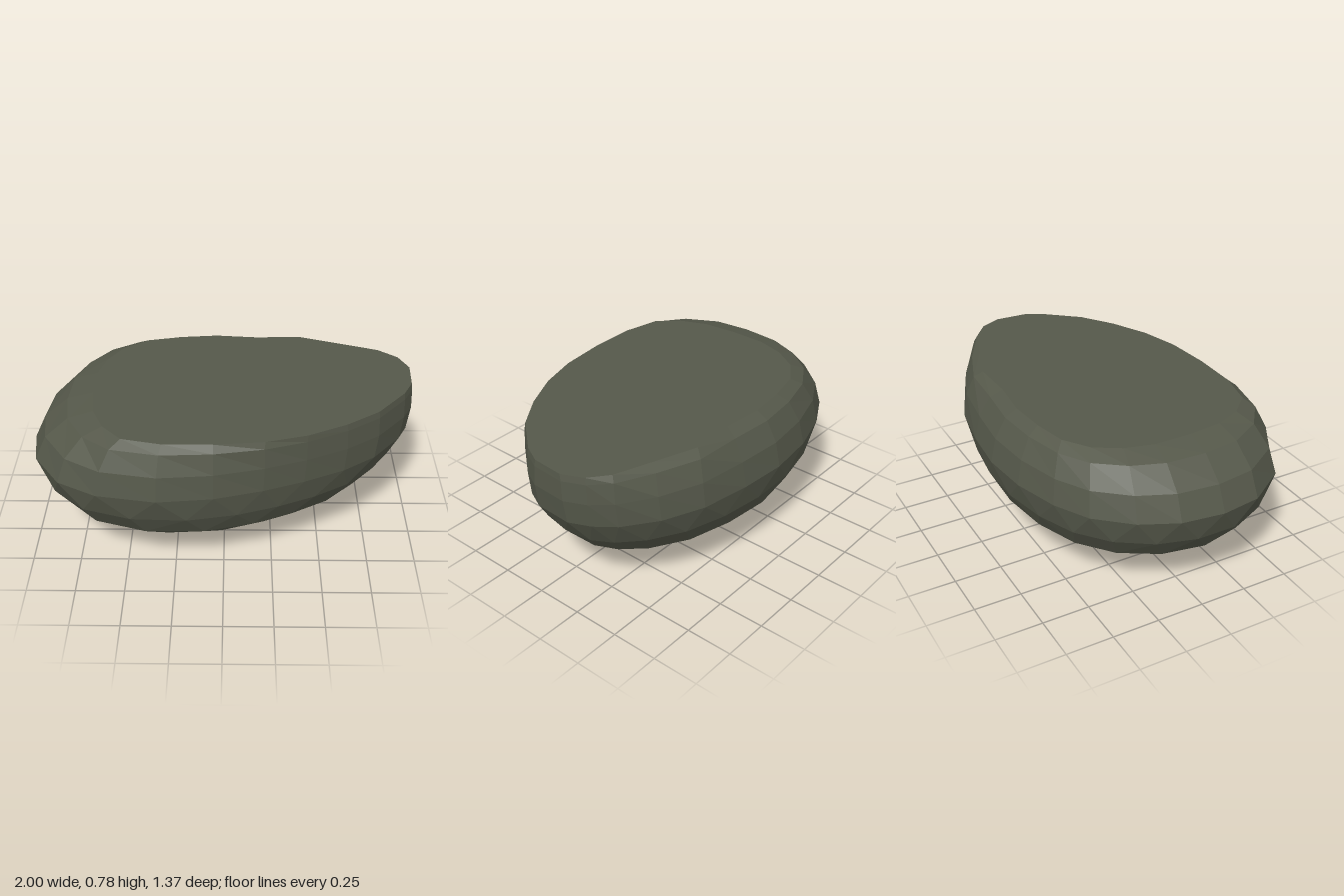
import * as THREE from 'three';

// Widest outline and flat-top outline as [x, z], matching point for point
const WIDE = [[1, -.2], [.99, 0], [.94, .1], [.79, .28], [.62, .4], [.41, .5], [.2, .58], [-.05, .65],
  [-.33, .68], [-.63, .63], [-.83, .52], [-.97, .31], [-1, .1], [-.97, -.12], [-.88, -.31], [-.73, -.48],
  [-.55, -.58], [-.31, -.655], [-.05, -.685], [.21, -.665], [.48, -.62], [.7, -.53], [.87, -.41], [.95, -.31]];
const TOP = [[.99, -.18], [.98, -.01], [.93, .09], [.78, .27], [.61, .39], [.41, .49], [.2, .55], [-.05, .575],
  [-.3, .575], [-.5, .53], [-.6, .42], [-.66, .28], [-.68, .1], [-.68, -.1], [-.64, -.25], [-.56, -.38],
  [-.43, -.47], [-.25, -.51], [-.05, -.53], [.17, -.51], [.41, -.52], [.64, -.44], [.84, -.37], [.94, -.29]];

// Point on a closed outline, u from 0 to 1
function sample(outline, u) {
  const n = outline.length, f = (((u % 1) + 1) % 1) * n, i = Math.floor(f) % n, t = f - Math.floor(f);
  const a = outline[i], b = outline[(i + 1) % n];
  return [a[0] + (b[0] - a[0]) * t, a[1] + (b[1] - a[1]) * t];
}

// One level of the rock: inset blends towards the top outline, scale and taper shrink the underside
function ring(y, count, offset, { inset = 0, scale = 1, taper = 0 }) {
  const points = [];
  for (let i = 0; i < count; i++) {
    const u = (i + offset) / count;
    const w = sample(WIDE, u), t = sample(TOP, u);
    const x = (w[0] + (t[0] - w[0]) * inset) * scale - taper * Math.max(0, w[0]) - 0.05 * (1 - scale);
    points.push([x, y, (w[1] + (t[1] - w[1]) * inset) * scale]);
  }
  return { points, offset };
}

// Join two levels with triangles, even when their point counts differ
function stitch(out, upper, lower) {
  const A = upper.points, B = lower.points, a = A.length, b = B.length;
  const endA = a === 1 ? 0 : a, endB = b === 1 ? 0 : b;
  let i = 0, j = 0;
  while (i < endA || j < endB) {
    const nextA = i < endA ? (i + 0.5 + upper.offset) / a : Infinity;
    const nextB = j < endB ? (j + 0.5 + lower.offset) / b : Infinity;
    if (nextA <= nextB) {
      out.push(...A[i % a], ...A[(i + 1) % a], ...B[j % b]);
      i++;
    } else {
      out.push(...A[i % a], ...B[(j + 1) % b], ...B[j % b]);
      j++;
    }
  }
}

export function createModel() {
  const stone = new THREE.MeshStandardMaterial({ color: 0x55584a });
  stone.name = 'mossy grey stone';
  stone.flatShading = true;

  // Levels from the flat top, over the rounded shoulder, down to the base point
  const levels = [
    { points: [[0.15, 0.78, 0]], offset: 0 },
    ring(0.78, 24, 0, { inset: 1 }),
    ring(0.745, 24, 0, { inset: 0.58 }),
    ring(0.64, 24, 0, { inset: 0.19 }),
    ring(0.51, 24, 0, { taper: 0.02 }),
    ring(0.37, 24, 0.5, { scale: 0.965, taper: 0.06 }),
    ring(0.245, 20, 0, { scale: 0.865, taper: 0.075 }),
    ring(0.138, 16, 0.5, { scale: 0.67, taper: 0.05 }),
    ring(0.043, 9, 0, { scale: 0.37, taper: 0.03 }),
    { points: [[-0.05, 0, 0]], offset: 0 },
  ];
  const positions = [];
  for (let k = 0; k + 1 < levels.length; k++) stitch(positions, levels[k], levels[k + 1]);

  const geometry = new THREE.BufferGeometry();
  geometry.setAttribute('position', new THREE.Float32BufferAttribute(positions, 3));
  geometry.computeVertexNormals();

  const rock = new THREE.Mesh(geometry, stone);
  rock.name = 'rock';
  const group = new THREE.Group();
  group.name = 'flatToppedRock';
  group.add(rock);
  return group;
}
